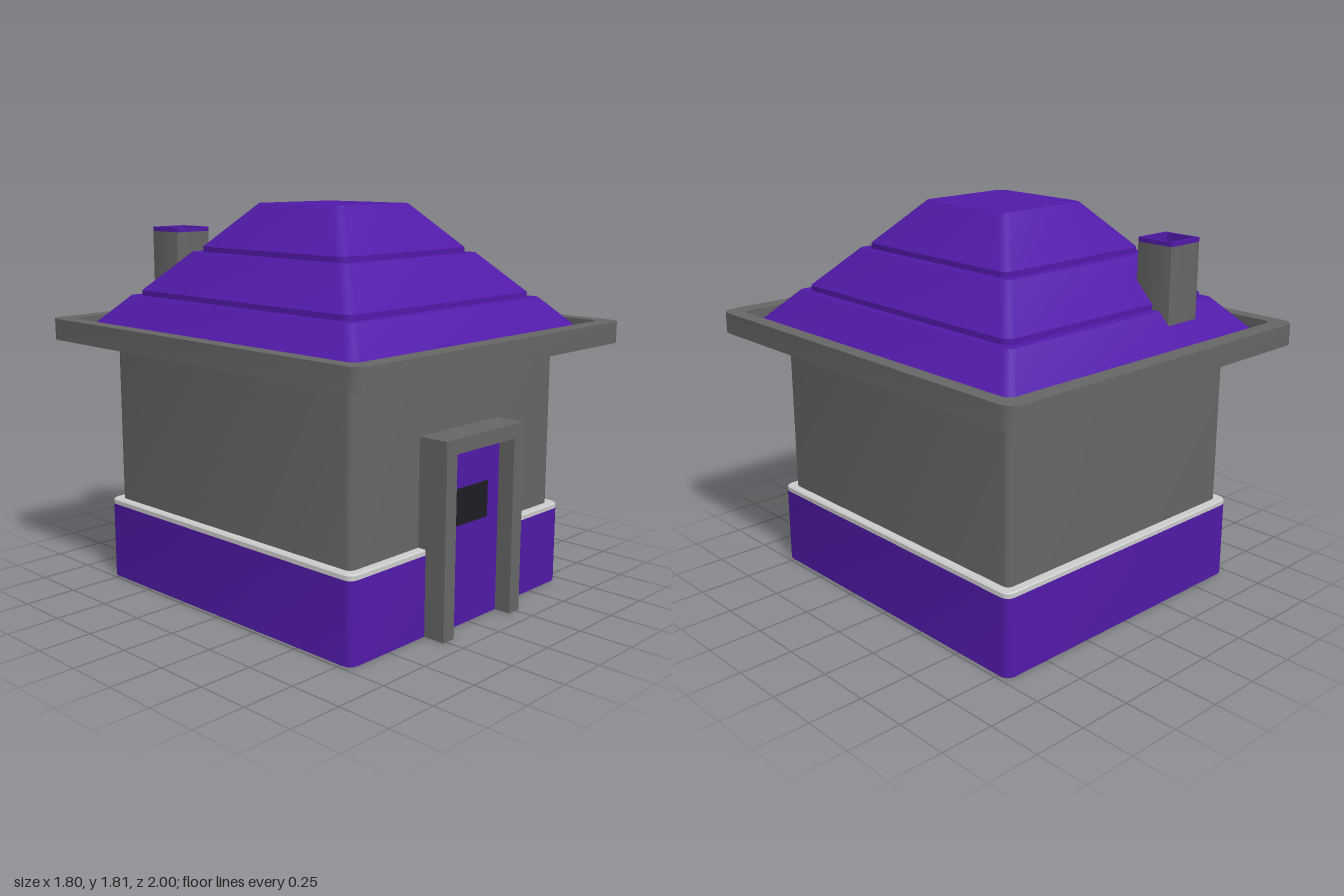
import * as THREE from 'three';
import { toCreasedNormals } from 'three/addons/utils/BufferGeometryUtils.js';

const mat = (color) => new THREE.MeshStandardMaterial({ color, side: THREE.DoubleSide });

// Skin a list of rounded rectangles [halfX, halfZ, y, cornerRadius] from first to last.
function loft(rings, seg = 3) {
  const pos = [], index = [], n = 4 * (seg + 1);
  for (const [hx, hz, y, r] of rings) {
    for (let c = 0; c < 4; c++) {
      const sx = c === 0 || c === 3 ? 1 : -1, sz = c < 2 ? -1 : 1;
      for (let k = 0; k <= seg; k++) {
        const a = (c + k / seg) * Math.PI / 2;
        pos.push(sx * (hx - r) + r * Math.cos(a), y, sz * (hz - r) - r * Math.sin(a));
      }
    }
  }
  for (let i = 0; i < rings.length - 1; i++) {
    for (let j = 0; j < n; j++) {
      const a = i * n + j, b = i * n + (j + 1) % n;
      index.push(a, b, b + n, a, b + n, a + n);
    }
  }
  const g = new THREE.BufferGeometry();
  g.setAttribute('position', new THREE.Float32BufferAttribute(pos, 3));
  g.setIndex(index);
  return toCreasedNormals(g, 0.6);
}

export function createModel() {
  const model = new THREE.Group();
  const stone = mat(0x666666), purple = mat(0x511aa8), pale = mat(0xcccccc), dark = mat(0x1e1c25);

  const add = (name, geometry, material, parent = model) => {
    const mesh = new THREE.Mesh(geometry, material);
    mesh.name = name;
    parent.add(mesh);
    return mesh;
  };
  const box = (x0, x1, y0, y1, z0, z1) => new THREE.BoxGeometry(x1 - x0, y1 - y0, z1 - z0)
    .translate((x0 + x1) / 2, (y0 + y1) / 2, (z0 + z1) / 2);

  // Hollow body: skirt, pale ledge and walls, open underneath
  add('skirt', loft([[0.73, 0.805, 0, 0.04], [0.73, 0.805, 0.365, 0.04]]), purple);
  add('ledge', loft([[0.73, 0.805, 0.365, 0.04], [0.73, 0.805, 0.385, 0.04],
    [0.725, 0.8, 0.39, 0.04], [0.69, 0.765, 0.39, 0.03]]), pale);
  add('walls', loft([[0.69, 0.765, 0.39, 0.03], [0.69, 0.765, 1.17, 0.03]]), stone);

  // Eaves: a flat soffit with a raised gutter rim
  add('eaves', loft([[0, 0, 1.17, 0], [0.9, 1, 1.17, 0.06], [0.9, 1, 1.27, 0.06],
    [0.83, 0.915, 1.27, 0.04], [0.83, 0.915, 1.18, 0.04]]), stone);

  // Three sloping tiers with narrow steps and a flat top
  add('roof', loft([
    [0.83, 0.915, 1.18, 0.04], [0.65, 0.72, 1.38, 0.04],
    [0.615, 0.68, 1.38, 0.04], [0.615, 0.68, 1.405, 0.04],
    [0.455, 0.5, 1.585, 0.04], [0.42, 0.462, 1.585, 0.04],
    [0.42, 0.462, 1.61, 0.04], [0.245, 0.265, 1.81, 0.04], [0, 0, 1.81, 0],
  ]), purple);

  // Doorway: deep frame, recessed door, small window
  const doorway = new THREE.Group();
  doorway.name = 'doorway';
  model.add(doorway);
  const outline = new THREE.Shape([[-0.27, 0], [-0.2, 0], [-0.2, 0.81], [0.2, 0.81],
    [0.2, 0], [0.27, 0], [0.27, 0.875], [-0.27, 0.875]].map(([x, y]) => new THREE.Vector2(x, y)));
  const frame = new THREE.ExtrudeGeometry(outline, { depth: 0.17, bevelEnabled: false });
  add('doorFrame', frame.translate(0, 0, 0.74), stone, doorway);
  add('door', box(-0.2, 0.2, 0, 0.81, 0.78, 0.83), purple, doorway);
  add('doorWindow', box(-0.12, 0.115, 0.46, 0.625, 0.825, 0.835), dark, doorway);

  // Chimney with a recessed cap
  const chimney = new THREE.Group();
  chimney.name = 'chimney';
  chimney.position.set(-0.355, 0, -0.68);
  model.add(chimney);
  add('chimneyStack', loft([[0.095, 0.095, 1.25, 0.005], [0.095, 0.095, 1.67, 0.005]]), stone, chimney);
  add('chimneyCap', loft([[0.095, 0.095, 1.67, 0.005], [0.095, 0.095, 1.69, 0.005],
    [0.08, 0.08, 1.69, 0.005], [0.08, 0.08, 1.65, 0.005], [0, 0, 1.65, 0]]), purple, chimney);

  return model;
}
